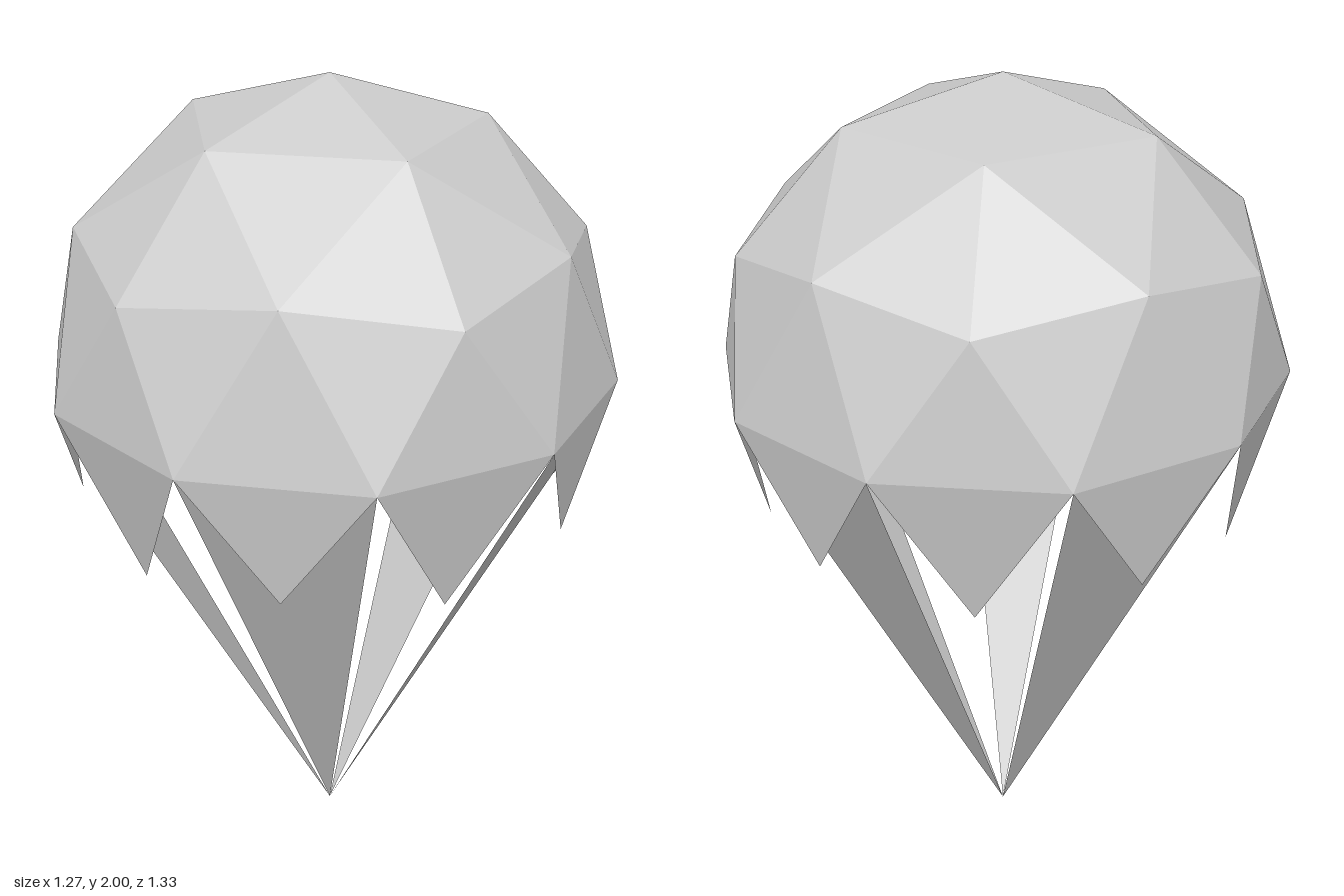
import * as THREE from 'three';

const R = 2 / 3;                                  // dome radius
const CENTRE = new THREE.Vector3(0, 4 / 3, 0);    // dome centre

// Point on the sphere at a polar angle from the top and an azimuth, in degrees
function onSphere(polar, azimuth) {
  return new THREE.Vector3()
    .setFromSphericalCoords(R, THREE.MathUtils.degToRad(polar), THREE.MathUtils.degToRad(90 - azimuth))
    .add(CENTRE);
}

// Flat-shaded mesh from triangles, each turned to face away from the dome centre
function facets(name, triangles) {
  const points = [];
  for (const [a, b, c] of triangles) {
    const normal = new THREE.Triangle(a, b, c).getNormal(new THREE.Vector3());
    const outward = normal.dot(a.clone().sub(CENTRE)) > 0;
    points.push(a, ...(outward ? [b, c] : [c, b]));
  }
  const geometry = new THREE.BufferGeometry().setFromPoints(points);
  geometry.computeVertexNormals();
  const material = new THREE.MeshStandardMaterial({
    color: 0xcccccc, flatShading: true, side: THREE.DoubleSide,
  });
  const mesh = new THREE.Mesh(geometry, material);
  mesh.name = name;
  return mesh;
}

export function createModel() {
  const model = new THREE.Group();
  model.name = 'geodesicCanopy';

  const top = onSphere(0, 0);
  const bottom = new THREE.Vector3(0, 0, 0);
  const upper = (a) => onSphere(31.717, a);       // five points round the top
  const corner = (a) => onSphere(63.435, a);      // icosahedron corners
  const middle = (a) => onSphere(58.283, a);      // midpoints between corners
  const rim = (a) => onSphere(90, a);             // ten equator points

  const dome = [], teeth = [], spikes = [];
  for (let k = 0; k < 5; k++) {
    const a = 72 * k;
    // One fifth of the dome
    dome.push(
      [top, upper(a), upper(a + 72)],
      [upper(a), corner(a), middle(a + 36)],
      [upper(a), middle(a + 36), upper(a + 72)],
      [upper(a + 72), middle(a + 36), corner(a + 72)],
      [corner(a), rim(a - 18), rim(a + 18)],
      [corner(a), rim(a + 18), middle(a + 36)],
      [middle(a + 36), rim(a + 18), rim(a + 54)],
      [middle(a + 36), rim(a + 54), corner(a + 72)],
    );
    // Pointed teeth that follow the sphere below the rim
    teeth.push(
      [rim(a - 18), rim(a + 18), onSphere(180 - 58.283, a)],
      [rim(a + 18), rim(a + 54), onSphere(180 - 63.435, a + 36)],
    );
    // Long blades from every second rim edge to the bottom point
    spikes.push([rim(a + 18), rim(a + 54), bottom]);
  }

  model.add(facets('dome', dome), facets('rimTeeth', teeth), facets('supportBlades', spikes));
  return model;
}
